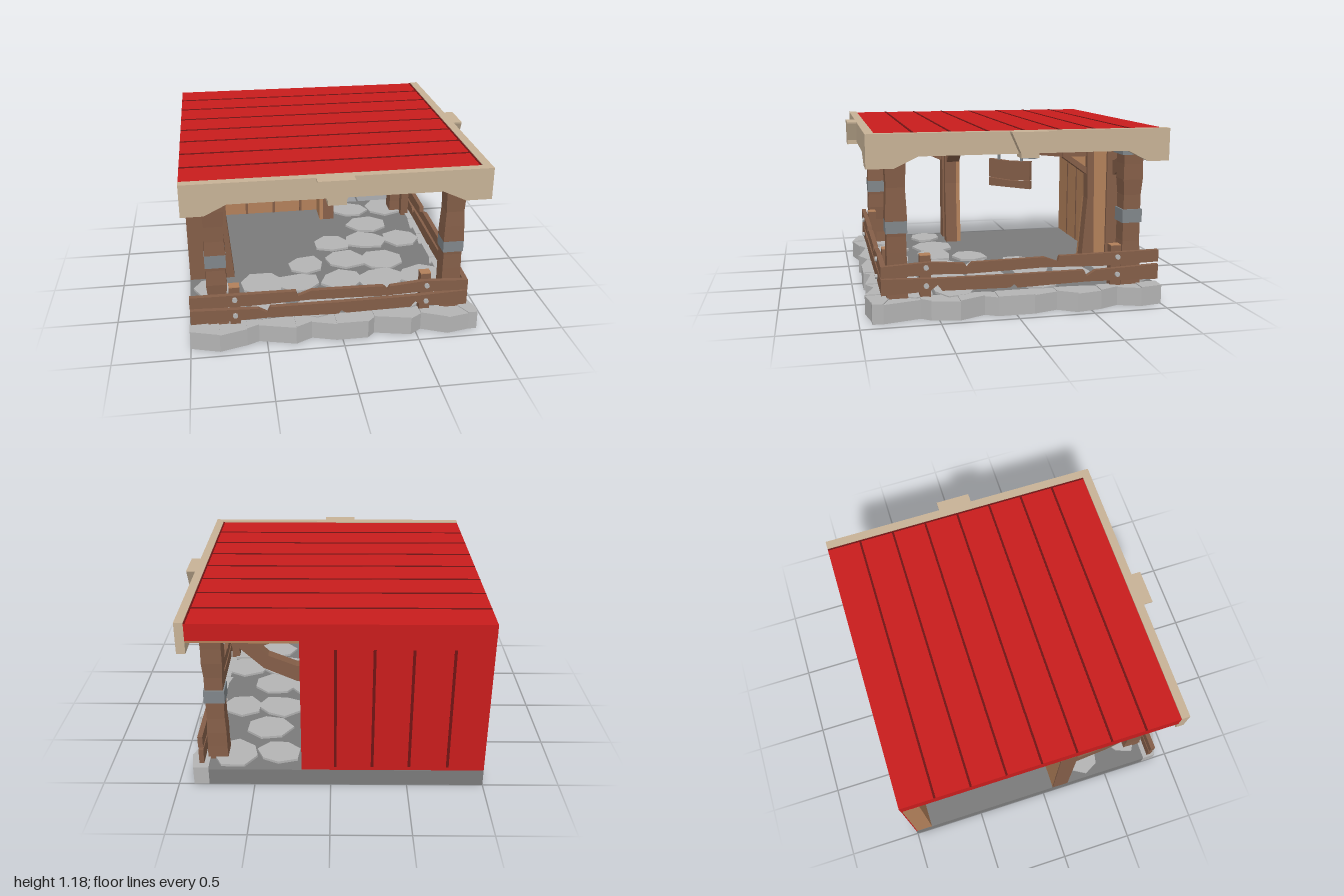
import * as THREE from 'three';

const mat = (name, color) => {
  const m = new THREE.MeshStandardMaterial({ color });
  m.name = name;
  return m;
};

export function createModel() {
  const model = new THREE.Group();
  model.name = 'cornerPorch';
  const red = mat('red paint', 0xc81c1c);
  const darkRed = mat('groove red', 0x701414);
  const tan = mat('pale trim', 0xc7b296);
  const brown = mat('brown timber', 0x845e48);
  const light = mat('light planks', 0xb2805a);
  const stone = mat('pale stone', 0xb4b4b4);
  const floor = mat('floor grey', 0x7a7a7a);
  const iron = mat('iron', 0x80868a);

  let seed = 11;
  const rand = () => (seed = (seed * 16807) % 2147483647) / 2147483647;

  // Faceted copy of a geometry; mirrored copies swap x and z across the diagonal
  const flat = (g, swap = false) => {
    const src = g.index ? g.toNonIndexed() : g;
    const p = src.getAttribute('position');
    const out = new Float32Array(p.count * 3);
    for (let i = 0; i < p.count; i++) {
      const j = swap ? i - (i % 3) + (2 - (i % 3)) : i;
      const x = p.getX(j), y = p.getY(j), z = p.getZ(j);
      out.set(swap ? [z, y, x] : [x, y, z], i * 3);
    }
    const res = new THREE.BufferGeometry();
    res.setAttribute('position', new THREE.BufferAttribute(out, 3));
    res.computeVertexNormals();
    return res;
  };
  const add = (name, g, m, swap = false, parent = model) => {
    const mesh = new THREE.Mesh(flat(g, swap), m);
    mesh.name = name;
    parent.add(mesh);
  };
  const both = (name, g, m) => {
    add(name + 'Front', g, m);
    add(name + 'Side', g, m, true);
  };
  // Box from its limits
  const box = (x0, x1, y0, y1, z0, z1) =>
    new THREE.BoxGeometry(x1 - x0, y1 - y0, z1 - z0).translate((x0 + x1) / 2, (y0 + y1) / 2, (z0 + z1) / 2);
  const shape = (pts) => new THREE.Shape(pts.map(([x, y]) => new THREE.Vector2(x, y)));
  // Outline in x and y, extruded along z
  const prism = (pts, z0, z1) =>
    new THREE.ExtrudeGeometry(shape(pts), { depth: z1 - z0, bevelEnabled: false }).translate(0, 0, z0);
  // Outline in x and z, extruded upwards
  const plan = (pts, y0, y1) =>
    new THREE.ExtrudeGeometry(shape(pts.map(([x, z]) => [x, -z])), { depth: y1 - y0, bevelEnabled: false })
      .rotateX(-Math.PI / 2).translate(0, y0, 0);

  // Floor slab with a wavy stone border on the two open sides
  add('floorSlab', box(-1, 0.85, 0, 0.115, -1, 0.85), floor);
  const frontEdge = [[-1, 0.89], [-0.81, 0.95], [-0.63, 0.9], [-0.55, 0.865], [-0.31, 0.93], [-0.2, 0.875], [-0.04, 0.925],
    [0.17, 0.925], [0.22, 0.875], [0.46, 0.93], [0.54, 0.875], [0.71, 0.95], [0.86, 0.92], [0.92, 0.92]];
  const sideEdge = [[-1, 0.9], [-0.85, 0.925], [-0.7, 0.87], [-0.57, 0.925], [-0.4, 0.955], [-0.28, 0.88], [-0.12, 0.925],
    [0.12, 0.925], [0.2, 0.88], [0.37, 0.955], [0.55, 0.92], [0.61, 0.87], [0.85, 0.925], [0.92, 0.92]];
  const inner = (x) => Math.min(x, 0.8);
  [frontEdge, sideEdge].forEach((edge, side) => {
    for (let i = 0; i < edge.length - 1; i++) {
      const [a, b] = [edge[i], edge[i + 1]];
      const pts = [a, b, [inner(b[0]), 0.8 - 0.02 * (i % 2)], [inner(a[0]) - 0.001, 0.8]];
      add('borderStone', plan(pts, 0, 0.13 - 0.006 * (i % 2)), stone, side === 1);
    }
  });

  // Loose paving stones around the room
  for (let i = 0; i < 6; i++) for (let j = 0; j < 6; j++) {
    const x = -0.83 + i * 0.3 + (rand() - 0.5) * 0.07 + (j % 2) * 0.05;
    const z = -0.83 + j * 0.3 + (rand() - 0.5) * 0.07;
    if (x + z < -0.25 && x < 0.3 && z < 0.3) continue;
    if (x > 0.74 || z > 0.74) continue;
    const r = 0.115 + rand() * 0.035, turn = rand() * 2, pts = [];
    for (let k = 0; k < 7; k++) {
      const a = turn + (k / 7) * Math.PI * 2, s = r * (0.85 + rand() * 0.3);
      pts.push([x + Math.cos(a) * s * 1.15, z + Math.sin(a) * s]);
    }
    add('pavingStone', plan(pts, 0.11, 0.132), stone);
  }

  // Flat plank roof, ceiling and grooves
  add('roof', box(-1, 0.88, 1.06, 1.172, -1, 0.88), red);
  add('ceiling', box(-0.99, 0.88, 1.04, 1.06, -0.99, 0.88), light);
  for (let i = 0; i < 7; i++) {
    const z = -0.77 + i * 0.235;
    add('roofGroove', box(-1, 0.88, 1.17, 1.175, z - 0.007, z + 0.007), darkRed);
  }
  add('roofEdgeGroove', box(0.87, 0.88, 1.17, 1.175, -1, 0.88), darkRed);

  // Pale fascia boards with a keystone block
  both('fascia', prism([[-1, 1.18], [-1, 0.97], [-0.86, 0.97], [-0.72, 1.04], [0.62, 1.04], [0.77, 0.97],
    [0.937, 0.97], [0.937, 1.18]], 0.88, 0.937), tan);
  both('keystone', prism([[-0.178, 1.18], [-0.178, 1.17], [-0.115, 1.05], [-0.115, 1.02], [0, 1.02], [0, 1.05],
    [0.055, 1.17], [0.055, 1.18]], 0.9, 1), tan);

  // Worn posts with iron bands
  [[-0.81, 0.75], [0.75, 0.75], [0.75, -0.81]].forEach(([x, z]) => {
    const g = new THREE.BoxGeometry(0.125, 0.93, 0.125, 1, 9, 1);
    const p = g.getAttribute('position');
    const widths = Array.from({ length: 10 }, (_, k) => (k === 0 || k === 9 ? 1.1 : 0.92 + rand() * 0.18));
    for (let i = 0; i < p.count; i++) {
      const s = widths[Math.round((p.getY(i) + 0.465) / 0.93 * 9)];
      p.setX(i, p.getX(i) * s);
      p.setZ(i, p.getZ(i) * s);
    }
    add('post', g.translate(x, 0.575, z), brown);
    add('postBand', box(x - 0.068, x + 0.068, 0.545, 0.635, z - 0.068, z + 0.068), iron);
    add('postCap', box(x - 0.083, x + 0.083, 1, 1.042, z - 0.083, z + 0.083), iron);
  });

  // Chipped railings on short stakes, bolted together
  both('upperRail', prism([[-0.99, 0.36], [-0.3, 0.355], [-0.29, 0.318], [-0.2, 0.352], [0.28, 0.345], [0.31, 0.312],
    [0.325, 0.34], [0.55, 0.36], [0.857, 0.345], [0.857, 0.272], [0.5, 0.28], [0.3, 0.272], [-0.2, 0.285], [-0.6, 0.272],
    [-0.99, 0.28]], 0.825, 0.857), brown);
  both('lowerRail', prism([[-0.99, 0.262], [-0.55, 0.245], [-0.49, 0.208], [-0.47, 0.25], [0, 0.248], [0.5, 0.252],
    [0.857, 0.265], [0.857, 0.16], [0.55, 0.172], [0.5, 0.21], [0.47, 0.17], [0.03, 0.163], [0, 0.185], [-0.02, 0.16],
    [-0.5, 0.172], [-0.99, 0.16]], 0.825, 0.857), brown);
  [-0.7, 0.573].forEach((x) => {
    both('railStake', box(x - 0.035, x + 0.035, 0.11, 0.396, 0.765, 0.826), brown);
    both('railStakeTop', box(x - 0.035, x + 0.035, 0.396, 0.401, 0.765, 0.826), light);
    [0.21, 0.328].forEach((y) =>
      both('railBolt', new THREE.CylinderGeometry(0.017, 0.017, 0.02, 8).rotateX(Math.PI / 2).translate(x, y, 0.862), stone));
  });

  // Back wall: painted outside, bare planks inside
  add('wallOutside', box(-1, 0.19, 0.115, 1.06, -0.998, -0.992), red);
  add('wallInside', box(-0.999, 0.1, 0.11, 1.05, -0.992, -0.88), light);
  [-0.76, -0.51, -0.27, -0.03].forEach((x) =>
    add('wallGroove', box(x - 0.009, x + 0.009, 0.14, 1, -1, -0.996), darkRed));
  [-0.76, -0.53, -0.3, -0.07].forEach((x) =>
    add('plankGroove', box(x - 0.01, x + 0.01, 0.115, 1.04, -0.882, -0.876), brown));

  // Short wall ends either side of the angled doorway
  both('wallEndPost', prism([[-0.992, 0.11], [-0.992, 1.05], [-0.87, 1.05], [-0.87, 0.11]], 0.1, 0.188), brown);
  both('wallEndPanel', prism([[-0.992, 0.11], [-0.992, 1.05], [-0.71, 1.05], [-0.72, 0.6], [-0.68, 0.11]], 0.07, 0.1), light);
  both('wallEndBoard', box(-0.88, -0.75, 0.11, 1.05, 0.095, 0.168), light);
  both('doorJamb', prism([[-0.78, 0.11], [-0.76, 1.05], [-0.71, 1.05], [-0.72, 0.6], [-0.68, 0.11]], 0.1, 0.19), brown);
  add('outerTrim', box(-1, -0.992, 0.11, 1.05, 0.07, 0.188), brown);

  // Braces to the fascia and to the doorway beam
  both('doorBrace', prism([[-0.74, 0.76], [-0.53, 0.91], [-0.53, 0.955], [-0.74, 0.81]], 0.075, 0.175), brown);
  both('doorBraceInfill', prism([[-0.74, 0.8], [-0.53, 0.945], [-0.53, 1.045], [-0.74, 1.045]], 0.1, 0.15), light);
  const braceShape = [[0.16, 0.88], [0.21, 0.88], [0.38, 0.95], [0.47, 1.045], [0.6, 1.045], [0.41, 0.865], [0.21, 0.775], [0.16, 0.77]];
  both('outerBrace', prism(braceShape, -0.98, -0.91), brown);

  // Beam cutting diagonally across the doorway corner
  const beam = (o) => [[-0.74, 0.165], [-0.55 + o, 0.165 + o], [0.165 + o, -0.55 + o], [0.165, -0.74], [0.08, -0.74],
    [0.08, -0.58], [-0.58, 0.08], [-0.74, 0.08]];
  add('doorBeam', plan(beam(0), 0.955, 1.045), light);
  add('doorBeamLip', plan(beam(0.012), 0.91, 0.955), brown);

  // Hanging plank sign and lantern frame, turned to face the corner
  const sign = new THREE.Group();
  sign.name = 'hangingSign';
  sign.position.set(-0.2, 0, -0.23);
  sign.rotation.y = Math.PI / 4;
  model.add(sign);
  add('signUpper', prism([[-0.18, 0.85], [0, 0.842], [0.18, 0.85], [0.18, 0.708], [0.02, 0.698], [-0.18, 0.708]],
    -0.018, 0.018), brown, false, sign);
  add('signLower', prism([[-0.18, 0.702], [0.02, 0.692], [0.18, 0.702], [0.18, 0.64], [-0.18, 0.64]],
    -0.016, 0.016), brown, false, sign);
  [-0.1, 0.1].forEach((x) => add('signChain', box(x - 0.008, x + 0.008, 0.84, 1.045, -0.008, 0.008), iron, false, sign));
  add('lanternPlate', box(-0.06, 0.06, 0.83, 0.845, -0.32, -0.26), iron, false, sign);
  [-0.05, 0.05].forEach((x) => add('lanternBar', box(x - 0.008, x + 0.008, 0.84, 1.045, -0.3, -0.28), iron, false, sign));

  return model;
}
